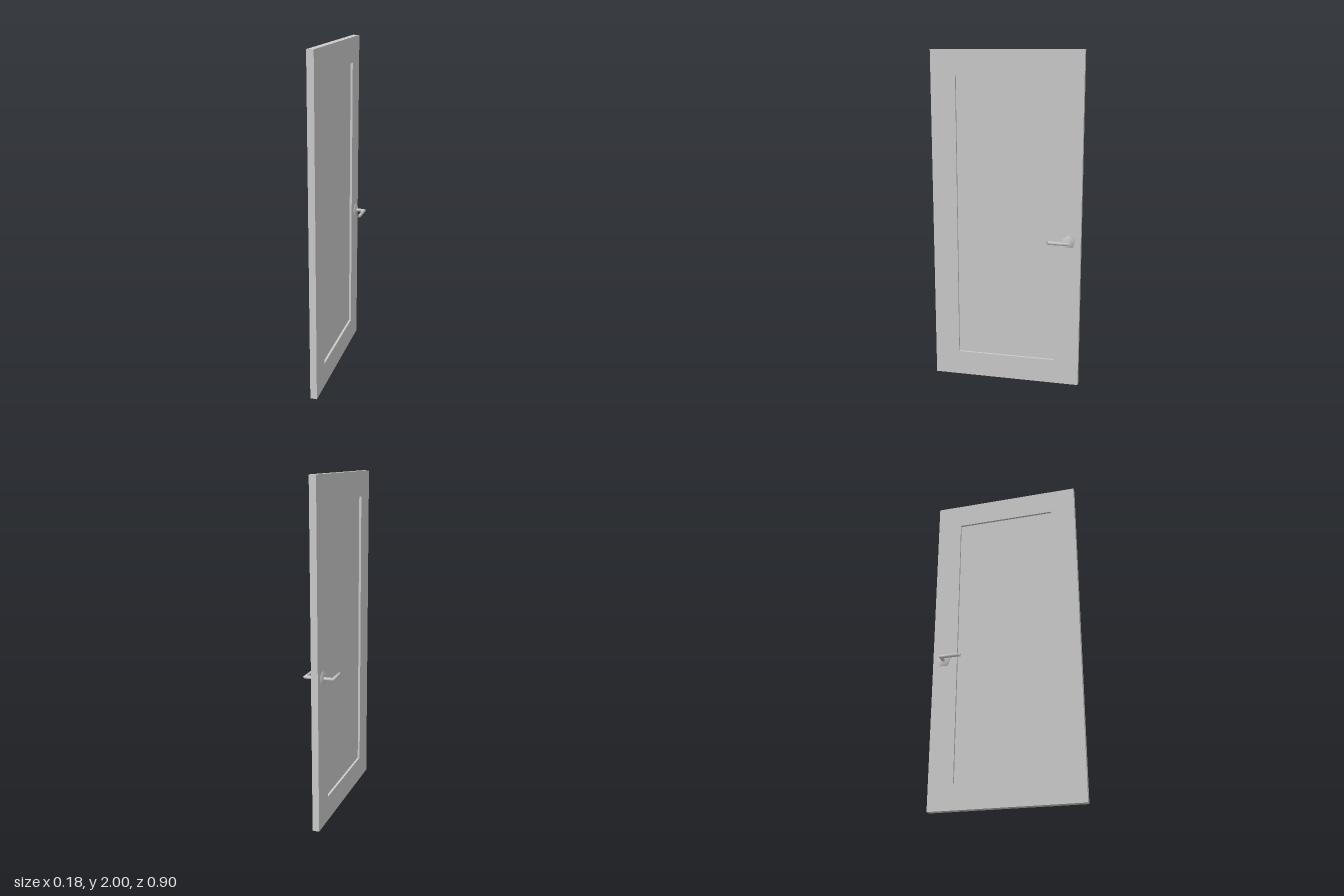
import * as THREE from 'three';
import { mergeVertices } from 'three/addons/utils/BufferGeometryUtils.js';

const grey = new THREE.MeshStandardMaterial({ color: 0xcccccc });
grey.name = 'plain grey';

function part(name, geometry) {
  const mesh = new THREE.Mesh(geometry, grey);
  mesh.name = name;
  return mesh;
}

// Five-sided lever: stem leaves the door, mitred corner, arm runs towards +z
function leverGeometry(side) {
  const sides = 5, r = 0.0105, x0 = 0.0805, z0 = -0.3825, zEnd = -0.264;
  const rings = [
    u => [0.022, z0 - u],
    u => [x0 + u, z0 - u],
    u => [x0 + u, zEnd - u],
  ];
  const pos = [], idx = [];
  const tri = (a, b, c) => idx.push(...(side > 0 ? [a, b, c] : [a, c, b]));
  rings.forEach((ring, k) => {
    for (let i = 0; i < sides; i++) {
      const a = (i / sides) * Math.PI * 2;
      const [x, z] = ring(Math.sin(a) * r);
      pos.push(x * side, 0.901 + Math.cos(a) * r, z);
      if (k === rings.length - 1) continue;
      const p = k * sides + i, q = k * sides + (i + 1) % sides;
      tri(p, p + sides, q);
      tri(q, p + sides, q + sides);
    }
  });
  // Slanted end cap
  const e = (rings.length - 1) * sides;
  for (let i = 1; i < sides - 1; i++) tri(e, e + i + 1, e + i);
  const g = new THREE.BufferGeometry();
  g.setAttribute('position', new THREE.Float32BufferAttribute(pos, 3));
  g.setIndex(idx);
  g.computeVertexNormals();
  return g;
}

// Pentagonal plate, point up, with softened normals
function rosetteGeometry(side) {
  let g = new THREE.CylinderGeometry(0.042, 0.042, 0.012, 5, 1, false, Math.PI / 2);
  g.rotateZ(Math.PI / 2);
  g.translate(side * 0.024, 0.901, -0.38);
  g.deleteAttribute('uv');
  g.deleteAttribute('normal');
  g = mergeVertices(g);
  g.computeVertexNormals();
  return g;
}

export function createModel() {
  const door = new THREE.Group();
  door.name = 'door';

  // Frame with a rectangular opening
  const outline = new THREE.Shape([[-0.45, 0], [0.45, 0], [0.45, 2], [-0.45, 2]]
    .map(p => new THREE.Vector2(...p)));
  outline.holes.push(new THREE.Path([[-0.3, 0.15], [-0.3, 1.85], [0.3, 1.85], [0.3, 0.15]]
    .map(p => new THREE.Vector2(...p))));
  const frame = new THREE.ExtrudeGeometry(outline, { depth: 0.04, bevelEnabled: false });
  frame.translate(0, 0, -0.02);
  frame.rotateY(Math.PI / 2);
  door.add(part('doorFrame', frame));

  // Thin panel, recessed on both faces
  const panel = part('recessedPanel', new THREE.BoxGeometry(0.013, 1.7, 0.6));
  panel.position.y = 1;
  door.add(panel);

  // Matching handles on both faces
  for (const side of [1, -1]) {
    const handle = new THREE.Group();
    handle.name = side > 0 ? 'leftHandle' : 'rightHandle';
    handle.add(part('rosette', rosetteGeometry(side)), part('lever', leverGeometry(side)));
    door.add(handle);
  }
  return door;
}
